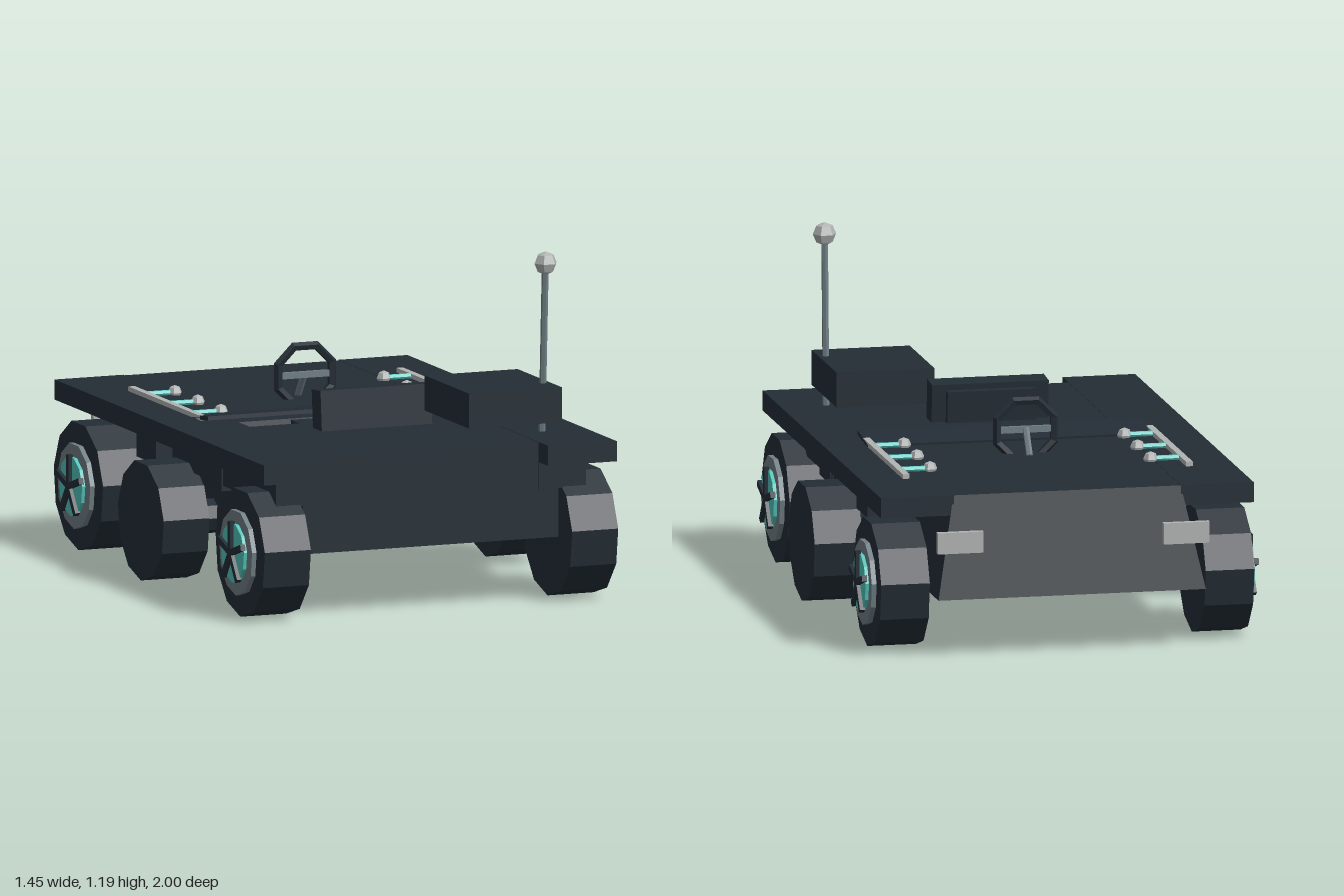
import * as THREE from 'three';

const mat = (name, color) => {
  const m = new THREE.MeshStandardMaterial({ color });
  m.name = name;
  return m;
};

export function createModel() {
  const group = new THREE.Group();
  group.name = 'buggy';
  const dark = mat('darkHull', 0x232d35);
  const steel = mat('steel', 0x6f7e84);
  const pale = mat('paleMetal', 0xb0b4b2);
  const teal = mat('teal', 0x52c2ba);

  const add = (name, geo, material, parent = group) => {
    const g = geo.index ? geo.toNonIndexed() : geo; // faceted look
    g.computeVertexNormals();
    const m = new THREE.Mesh(g, material);
    m.name = name;
    parent.add(m);
    return m;
  };
  // Box given by its limits on each axis
  const box = (name, material, x0, x1, y0, y1, z0, z1, parent) => {
    const m = add(name, new THREE.BoxGeometry(Math.abs(x1 - x0), y1 - y0, z1 - z0), material, parent);
    m.position.set((x0 + x1) / 2, (y0 + y1) / 2, (z0 + z1) / 2);
    return m;
  };
  // Rod between two points
  const rod = (name, material, a, b, r, sides = 6) => {
    const p = new THREE.Vector3(...a), q = new THREE.Vector3(...b);
    const m = add(name, new THREE.CylinderGeometry(r, r, p.distanceTo(q), sides), material);
    m.position.copy(p).add(q).multiplyScalar(0.5);
    m.quaternion.setFromUnitVectors(new THREE.Vector3(0, 1, 0), q.sub(p).normalize());
    return m;
  };

  // Rear hull: box tapering towards its top
  const hull = new THREE.BoxGeometry(0.94, 0.35, 1.195);
  const pos = hull.attributes.position;
  for (let i = 0; i < pos.count; i++) {
    if (pos.getY(i) > 0) {
      pos.setX(i, Math.sign(pos.getX(i)) * 0.4);
      pos.setZ(i, Math.sign(pos.getZ(i)) * 0.515);
    }
  }
  add('rearHull', hull, dark).position.set(0, 0.384, -0.378);

  // Front hull
  box('frontHull', dark, -0.4, 0.4, 0.225, 0.559, 0.238, 0.905);
  box('frontHullBase', dark, -0.475, 0.475, 0.225, 0.49, 0.238, 0.905);

  // Seat with tilted backrest
  box('seatCushion', dark, -0.205, 0.205, 0.44, 0.555, 0.1, 0.24);
  const backrest = new THREE.Group();
  backrest.name = 'backrest';
  backrest.position.set(0, 0.56, 0.38);
  backrest.rotation.x = -0.09;
  group.add(backrest);
  box('backrestFrame', dark, -0.205, 0.205, -0.02, 0.135, -0.04, 0.04, backrest);
  box('backrestPad', dark, -0.155, 0.155, 0.0, 0.115, -0.065, -0.04, backrest);

  // Raised deck flap, lifted at its front edge
  const flap = box('deckFlap', dark, -0.51, 0.51, 0.558, 0.572, -0.03, 0.135);
  flap.position.y = 0.569;
  flap.rotation.x = -0.12;

  // Floating cargo box
  box('cargoBox', dark, 0.175, 0.52, 0.608, 0.73, 0.425, 0.825);

  // Antenna
  rod('antennaMast', steel, [0.495, 0.55, 0.705], [0.492, 1.13, 0.742], 0.012);
  add('antennaBall', new THREE.SphereGeometry(0.041, 6, 4), pale).position.set(0.492, 1.152, 0.745);

  // Steering wheel, eight-sided
  const ring = add('steeringWheel', new THREE.TorusGeometry(0.108, 0.016, 5, 8), dark);
  ring.position.set(0, 0.64, -0.232);
  ring.rotation.z = Math.PI / 8;
  box('steeringBar', steel, -0.1, 0.1, 0.63, 0.652, -0.24, -0.224);
  rod('steeringColumn', steel, [0, 0.645, -0.235], [0, 0.56, -0.295], 0.012);

  // Wheel: 11-sided tyre along x, one corner pointing down
  const disc = (name, r, x0, x1, sides, material, parent, s) => {
    const geo = new THREE.CylinderGeometry(r, r, x1 - x0, sides);
    geo.rotateY(Math.PI); // first corner at -z
    geo.rotateZ(Math.PI / 2);
    geo.rotateX(-Math.PI / 2); // first corner at -y
    const p = geo.attributes.position;
    let low = 0;
    for (let i = 0; i < p.count; i++) low = Math.min(low, p.getY(i));
    if (low > -r * 0.999) geo.rotateX(Math.PI);
    add(name, geo, material, parent).position.x = s * (x0 + x1) / 2;
  };

  for (const s of [1, -1]) {
    // Side deck rail and the fittings under it
    box('sideRail', dark, s * 0.4, s * 0.655, 0.49, 0.56, -0.9, 0.993);
    box('wheelArch', dark, s * 0.4, s * 0.575, 0.395, 0.49, 0.24, 0.908);
    box('middleBracket', dark, s * 0.42, s * 0.57, 0.395, 0.49, -0.04, 0.25);
    for (const z of [0.255, -0.34]) {
      box('railBracket', dark, s * 0.42, s * 0.58, 0.376, 0.49, z, z + 0.173);
    }

    // Rack on the deck with short knobbed arms
    box('rackBar', pale, s * 0.486, s * 0.51, 0.558, 0.576, -0.587, 0.06);
    for (const z of [-0.464, -0.256, -0.048]) {
      rod('rackArm', teal, [s * 0.49, 0.567, z], [s * 0.4, 0.567, z], 0.011);
      add('rackKnob', new THREE.SphereGeometry(0.026, 6, 4), pale).position.set(s * 0.388, 0.567, z);
    }

    // Rear lamp plate
    box('rearLamp', pale, s * 0.317, s * 0.478, 0.376, 0.45, -1, -0.977);

    // Front and rear wheels with spoked hubs
    for (const z of [0.78, -0.682]) {
      const wheel = new THREE.Group();
      wheel.name = z > 0 ? 'frontWheel' : 'rearWheel';
      wheel.position.set(0, 0.225, z);
      group.add(wheel);
      disc('tyre', 0.225, 0.485, 0.656, 11, dark, wheel, s);
      disc('rim', 0.15, 0.65, 0.673, 11, steel, wheel, s);
      disc('hubDisc', 0.105, 0.67, 0.685, 11, teal, wheel, s);
      for (let i = 0; i < 5; i++) {
        const spoke = new THREE.Group();
        spoke.name = 'spoke';
        spoke.rotation.x = i * Math.PI * 0.4;
        wheel.add(spoke);
        box('spokeBar', dark, s * 0.68, s * 0.698, 0, 0.11, -0.011, 0.011, spoke);
      }
    }

    // Plain middle wheel
    const middle = new THREE.Group();
    middle.name = 'middleWheel';
    middle.position.set(0, 0.224, 0.05);
    group.add(middle);
    disc('middleTyre', 0.209, 0.555, 0.725, 11, dark, middle, s);
    disc('middleAxle', 0.06, 0.4, 0.56, 8, dark, middle, s);
  }
  return group;
}
